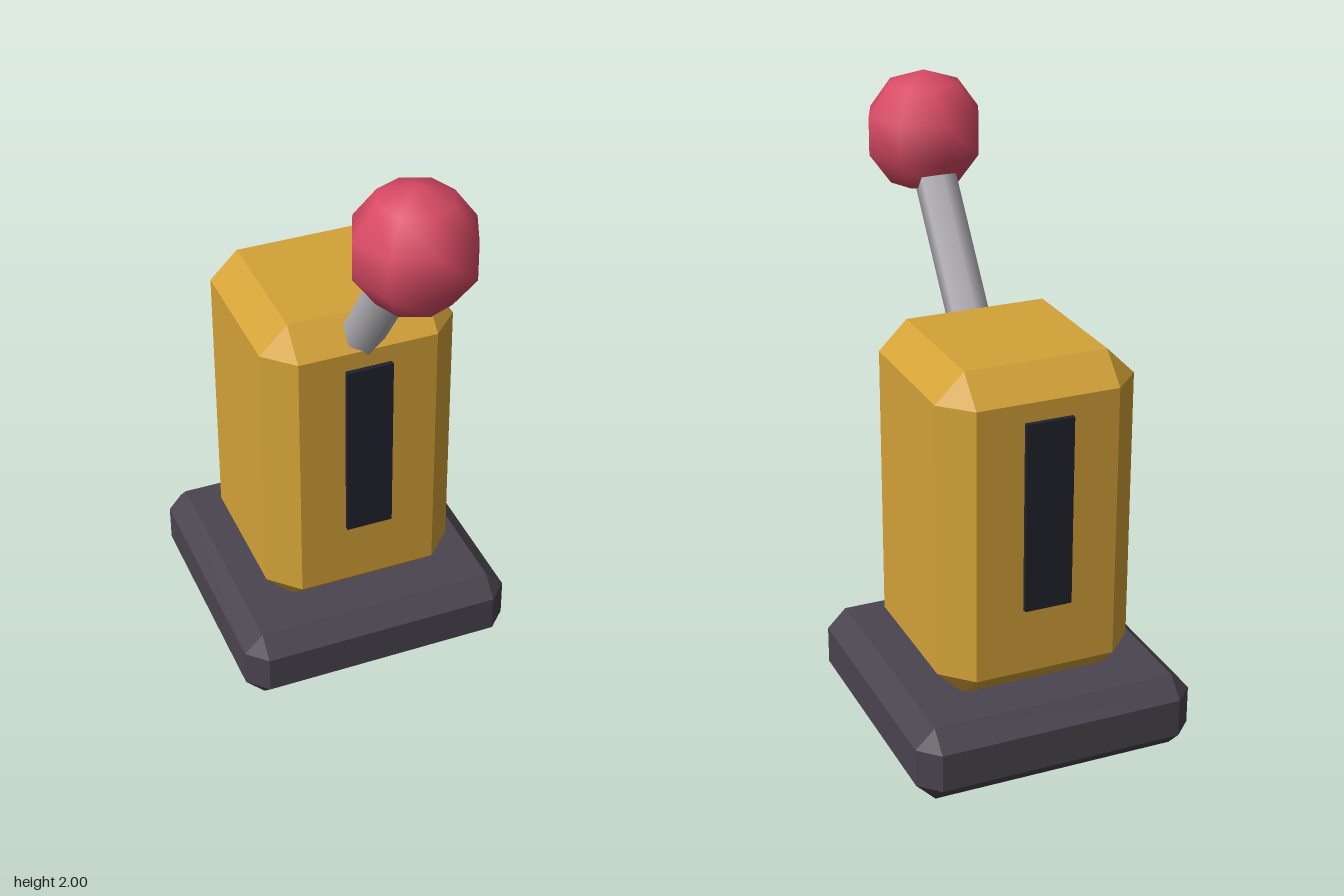
import * as THREE from 'three';
import { ConvexGeometry } from 'three/addons/geometries/ConvexGeometry.js';

const mat = (name, color, flatShading = false) => {
  const m = new THREE.MeshStandardMaterial({ color, flatShading });
  m.name = name;
  return m;
};

// Box with every edge cut at 45 degrees: hull of the corners of its six inset faces
function chamferedBox(w, h, d, c) {
  const half = [w / 2, h / 2, d / 2];
  const points = [];
  for (let axis = 0; axis < 3; axis++) {
    for (const sx of [-1, 1]) for (const sy of [-1, 1]) for (const sz of [-1, 1]) {
      const signs = [sx, sy, sz];
      points.push(new THREE.Vector3(...half.map((v, i) => signs[i] * (i === axis ? v : v - c))));
    }
  }
  return new ConvexGeometry(points);
}

export function createModel() {
  const model = new THREE.Group();
  model.name = 'leverSwitch';
  const charcoal = mat('charcoal', 0x4a444e, true);
  const gold = mat('gold', 0xd4a338, true);
  const black = mat('slotBlack', 0x22222e, true);
  const steel = mat('steel', 0xb4b2b7);
  const red = mat('red', 0xd84a64);

  const add = (name, geometry, material, x, y, z) => {
    const mesh = new THREE.Mesh(geometry, material);
    mesh.name = name;
    mesh.position.set(x, y, z);
    model.add(mesh);
    return mesh;
  };

  const cz = -0.19; // depth centre of base and housing

  // Base and housing
  add('base', chamferedBox(0.935, 0.253, 0.935, 0.063), charcoal, 0, 0.1265, cz);
  add('housing', chamferedBox(0.652, 1.093, 0.652, 0.093), gold, 0, 0.7835, cz);

  // Dark slots on the front and back of the housing
  for (const [name, side] of [['frontSlot', 1], ['backSlot', -1]]) {
    add(name, new THREE.BoxGeometry(0.156, 0.625, 0.02), black, 0, 0.863, cz + side * 0.332);
  }

  // Lever leaning forward from the housing into the knob
  const knob = new THREE.Vector3(0, 1.8, 0.467);
  const tilt = THREE.MathUtils.degToRad(35.5);
  const length = 0.8;
  const lever = add('lever', new THREE.CylinderGeometry(0.069, 0.069, length, 6), steel,
    0, knob.y - Math.cos(tilt) * length / 2, knob.z - Math.sin(tilt) * length / 2);
  lever.rotation.x = tilt;

  // Round knob
  add('knob', new THREE.SphereGeometry(0.2, 8, 5), red, knob.x, knob.y, knob.z);

  return model;
}
